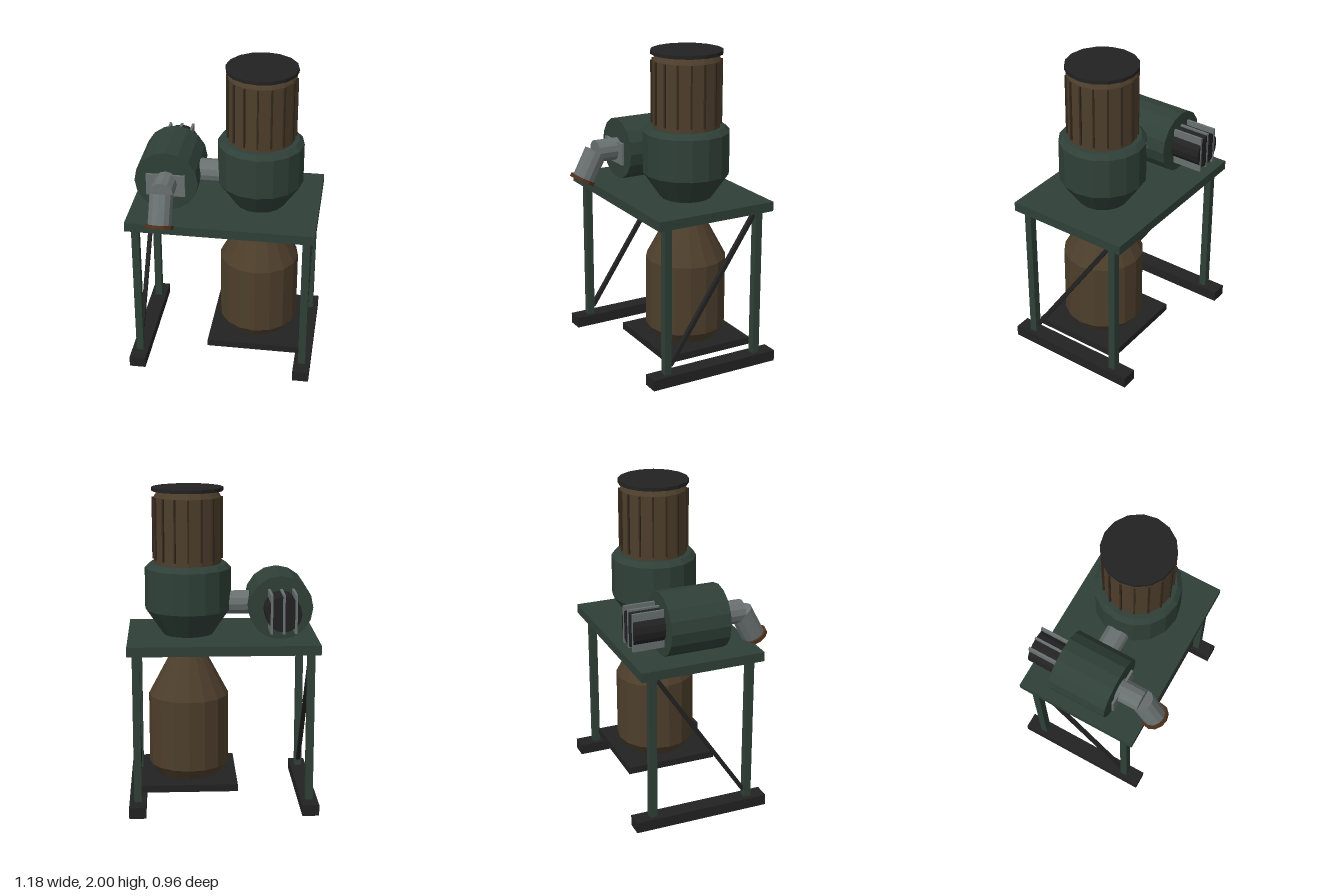
import * as THREE from 'three';

export function createModel() {
  const model = new THREE.Group();
  const paint = (name, color) => {
    const m = new THREE.MeshStandardMaterial({ color, flatShading: true });
    m.name = name;
    return m;
  };
  const green = paint('machine green', 0x2f4038);
  const black = paint('black', 0x222222);
  const brown = paint('bag brown', 0x4d3e2b);
  const darkBrown = paint('rib brown', 0x35291c);
  const rust = paint('rim brown', 0x4f301b);
  const grey = paint('duct grey', 0x697070);

  const add = (name, geometry, material, x = 0, y = 0, z = 0, parent = model) => {
    const mesh = new THREE.Mesh(geometry, material);
    mesh.name = name;
    mesh.position.set(x, y, z);
    parent.add(mesh);
    return mesh;
  };
  const box = (name, w, h, d, material, x, y, z, parent) =>
    add(name, new THREE.BoxGeometry(w, h, d), material, x, y, z, parent);
  // Cylinder running between two points
  const rod = (name, r, sides, from, to, material) => {
    const a = new THREE.Vector3(...from), b = new THREE.Vector3(...to);
    const dir = b.clone().sub(a);
    const mesh = add(name, new THREE.CylinderGeometry(r, r, dir.length(), sides), material);
    mesh.position.copy(a).add(b).multiplyScalar(0.5);
    mesh.quaternion.setFromUnitVectors(new THREE.Vector3(0, 1, 0), dir.normalize());
    return mesh;
  };
  const lathe = (name, points, material, x, z) =>
    add(name, new THREE.LatheGeometry(points.map(p => new THREE.Vector2(...p)), 16), material, x, 0, z);

  // Stand: table top, skids, legs and diagonal side braces
  box('tableTop', 1.18, 0.06, 0.8, green, 0, 1.05, -0.04);
  for (const s of [-1, 1]) {
    box('footSkid', 0.105, 0.07, 0.88, black, s * 0.5375, 0.035, -0.04);
    for (const z of [0.284, -0.357]) box('leg', 0.047, 0.95, 0.047, green, s * 0.537, 0.545, z);
    const rise = 0.9, run = 0.6;
    const brace = box('brace', 0.026, Math.hypot(rise, run), 0.026, black, s * 0.537, 0.57, -0.04);
    brace.rotation.x = -Math.atan2(run, rise);
  }

  // Collection bag on its tray
  const cx = 0.21, cz = -0.04;
  box('bagTray', 0.6, 0.045, 0.6, black, cx, 0.14, cz);
  lathe('collectionBag', [[0, 0.162], [0.2, 0.162], [0.254, 0.235], [0.254, 0.685],
    [0.105, 0.965], [0.105, 1.03]], brown, cx, cz);

  // Separator drum with cone
  lathe('separatorDrum', [[0.12, 1.03], [0.16, 1.08], [0.27, 1.24], [0.27, 1.5],
    [0.24, 1.53], [0, 1.53]], green, cx, cz);

  // Pleated filter with ribs and lid
  lathe('filterCartridge', [[0.21, 1.53], [0.21, 1.94], [0.185, 1.98], [0, 1.98]], brown, cx, cz);
  for (let i = 0; i < 16; i++) {
    const a = i * Math.PI / 8;
    const rib = box('filterRib', 0.01, 0.385, 0.02, darkBrown,
      cx + 0.211 * Math.sin(a), 1.7475, cz + 0.211 * Math.cos(a));
    rib.rotation.y = a;
  }
  add('filterLid', new THREE.CylinderGeometry(0.223, 0.223, 0.022, 16), black, cx, 1.989, cz);

  // Blower housing, transfer duct and motor
  const bx = -0.36, by = 1.273;
  rod('blowerHousing', 0.2, 16, [bx, by, -0.235], [bx, by, 0.15], green);
  rod('transferDuct', 0.075, 12, [-0.2, by, cz], [0, by, cz], grey);
  rod('motor', 0.11, 16, [bx, by, -0.433], [bx, by, -0.23], black);
  for (const dx of [-0.074, 0, 0.074])
    box('motorFin', 0.015, 0.24, 0.2, grey, bx + dx, by, -0.336);

  // Inlet: flange, straight pipe, drooping elbow and rim
  box('inletFlange', 0.245, 0.145, 0.015, grey, bx, 1.26, 0.168);
  rod('inletPipe', 0.074, 12, [bx, by, 0.14], [bx, by, 0.307], grey);
  const tilt = 0.48, dz = Math.sin(tilt), dy = -Math.cos(tilt);
  const along = t => [bx, by + t * dy, 0.303 + t * dz];
  rod('inletElbow', 0.074, 12, along(0), along(0.2), grey);
  rod('inletRim', 0.09, 12, along(0.19), along(0.212), rust);

  return model;
}
